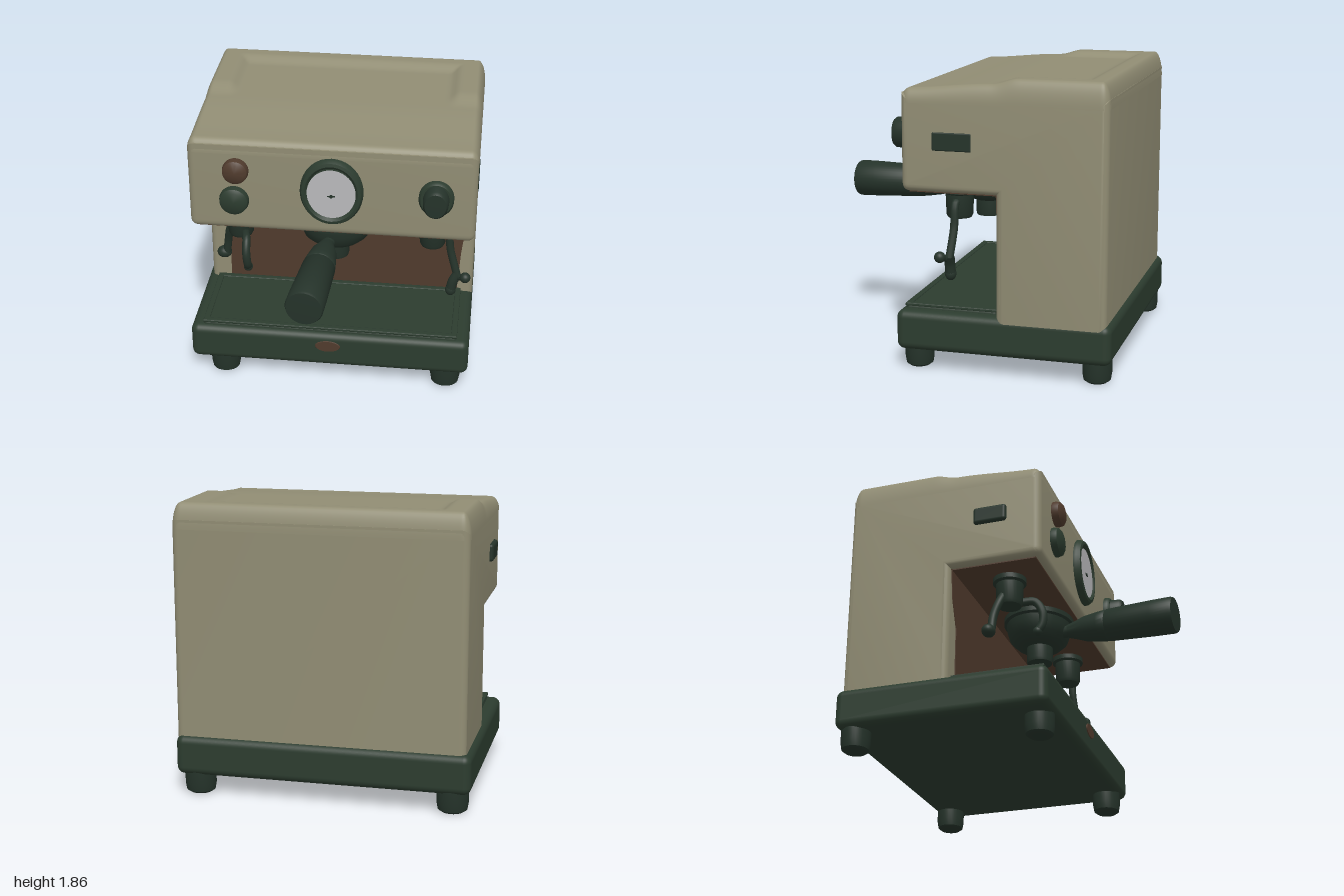
import * as THREE from 'three';
import { toCreasedNormals } from 'three/addons/utils/BufferGeometryUtils.js';
import { RoundedBoxGeometry } from 'three/addons/geometries/RoundedBoxGeometry.js';

const paint = (name, color) => {
  const m = new THREE.MeshStandardMaterial({ color });
  m.name = name;
  return m;
};
const V = (p) => new THREE.Vector3(...p);

export function createModel() {
  const cream = paint('cream enamel', 0x918d74);
  const green = paint('dark green', 0x2c3c2f);
  const fitting = paint('deep green fittings', 0x25332a);
  const brown = paint('brown metal', 0x503b2d);
  const white = paint('dial white', 0xb9b9bb);
  const model = new THREE.Group();
  model.name = 'espressoMachine';

  const add = (name, geo, mat, x = 0, y = 0, z = 0) => {
    const m = new THREE.Mesh(geo, mat);
    m.name = name;
    m.position.set(x, y, z);
    model.add(m);
    return m;
  };
  // Turned part: profile of [radius, height] points, smooth with sharp edges kept
  const turned = (pts, segs = 40) => toCreasedNormals(
    new THREE.LatheGeometry(pts.map((p) => new THREE.Vector2(...p)), segs), 0.7);
  // Turned part whose axis points forward, stretched to an ellipse
  const facing = (pts, sy = 1) => turned(pts).rotateX(Math.PI / 2).scale(1, sy, 1);
  const tube = (name, pts, r, mat) => {
    add(name, new THREE.TubeGeometry(new THREE.CatmullRomCurve3(pts.map(V)), 20, r, 12), mat);
  };
  const ball = (name, p, r, mat, s = [1, 1, 1]) =>
    add(name, new THREE.SphereGeometry(r, 20, 14).scale(...s), mat, ...p);

  // Body: L-shaped side profile (z, y) extruded across the width
  const cx = 0.015, halfW = 0.925, bevel = 0.045;
  const side = new THREE.Shape();
  side.moveTo(-0.965, 0.3);
  side.lineTo(-0.27, 0.3);
  side.lineTo(-0.27, 1.15);
  side.lineTo(0.28, 1.15);
  side.quadraticCurveTo(0.333, 1.15, 0.333, 1.205);
  side.lineTo(0.333, 1.76);
  side.lineTo(-0.965, 1.76);
  side.closePath();
  const body = new THREE.ExtrudeGeometry(side, {
    depth: 2 * (halfW - bevel), bevelThickness: bevel, bevelSize: bevel,
    bevelOffset: -bevel, bevelSegments: 5, curveSegments: 6,
  });
  body.translate(0, 0, bevel - halfW).rotateY(-Math.PI / 2);
  add('body', toCreasedNormals(body, 0.6), cream, cx);

  // Lid: rounded height field with a raised U-shaped rim at the back
  const lid = new THREE.PlaneGeometry(2, 2, 96, 80).rotateX(-Math.PI / 2);
  const pos = lid.attributes.position;
  const hw = halfW + 0.002, hd = 0.651, zc = -0.316, r = 0.055;
  const step = THREE.MathUtils.smoothstep;
  for (let i = 0; i < pos.count; i++) {
    let x = hw * Math.sin(pos.getX(i) * Math.PI / 2);
    let z = hd * Math.sin(pos.getZ(i) * Math.PI / 2);
    const px = Math.max(Math.abs(x) - hw + r, 0), pz = Math.max(Math.abs(z) - hd + r, 0);
    const m = Math.min(Math.max(px, pz), r), e = Math.hypot(px, pz);
    if (px > 0 && pz > 0) {
      x = Math.sign(x) * (hw - r + px * m / e);
      z = Math.sign(z) * (hd - r + pz * m / e);
    }
    const wz = z + zc;
    const sides = step(Math.abs(x), 0.69, 0.77) * step(-wz, 0.24, 0.4);
    const rim = Math.max(sides, step(-wz, 0.75, 0.85));
    const top = 1.79 + 0.037 * step(-wz, -0.32, 0.25) + 0.036 * rim;
    pos.setXYZ(i, x, 1.7 + (top - 1.7) * Math.sqrt(Math.max(0, 1 - (m / r) ** 2)), wz);
  }
  lid.computeVertexNormals();
  add('lid', lid, cream, cx);

  // Brown back panel and underside of the head
  const panel = new THREE.Shape([[-0.77, 0.36], [0.83, 0.36], [0.85, 0.7], [0.9, 1.15],
    [-0.87, 1.15], [-0.84, 0.95], [-0.77, 0.78]].map((p) => new THREE.Vector2(...p)));
  add('backPanel', new THREE.ExtrudeGeometry(panel, { depth: 0.008, bevelEnabled: false }),
    brown, 0, 0, -0.272);
  add('headUnderside', new THREE.BoxGeometry(1.76, 0.009, 0.56), brown, cx, 1.147, 0.01);

  // Base, drip tray and badge
  add('base', new RoundedBoxGeometry(1.885, 0.255, 1.375, 5, 0.05), green, 0, 0.2575, -0.3075);
  add('dripTray', new RoundedBoxGeometry(1.72, 0.07, 0.6, 4, 0.025), green, 0, 0.375, 0.04);
  const frame = new THREE.Shape();
  frame.moveTo(-0.86, -0.3).lineTo(0.86, -0.3).lineTo(0.86, 0.3).lineTo(-0.86, 0.3);
  const hole = new THREE.Path();
  hole.moveTo(-0.82, -0.26).lineTo(-0.82, 0.26).lineTo(0.82, 0.26).lineTo(0.82, -0.26);
  frame.holes.push(hole);
  add('trayRim', new THREE.ExtrudeGeometry(frame, {
    depth: 0.01, bevelSize: 0.008, bevelThickness: 0.006, bevelSegments: 2, bevelOffset: -0.008,
  }).rotateX(-Math.PI / 2), green, 0, 0.402, 0.04);
  add('badge', facing([[0.088, 0], [0.08, 0.009], [0, 0.009]], 0.5), brown, -0.005, 0.295, 0.377);

  // Feet
  const foot = [[0, 0], [0.07, 0], [0.092, 0.015], [0.1, 0.06], [0.1, 0.15]];
  for (const [x, z] of [[-0.725, 0.27], [0.79, 0.27], [-0.82, -0.89], [0.81, -0.89]]) {
    add('foot', turned(foot, 28), fitting, x, 0, z).scale.set(1, 1, 0.92);
  }

  // Pressure gauge
  add('gaugeRing', facing([[0.203, 0], [0.203, 0.02], [0.19, 0.045], [0.172, 0.05],
    [0.158, 0.04], [0.152, 0.02], [0, 0.02]], 1.15), green, 0.02, 1.475, 0.332);
  add('gaugeFace', new THREE.CircleGeometry(0.157, 40).scale(1, 1.1, 1), white, 0.02, 1.47, 0.368);
  add('gaugeNeedle', new THREE.BoxGeometry(0.05, 0.008, 0.004), fitting, 0.02, 1.455, 0.37);
  add('needleHub', facing([[0.011, 0], [0.011, 0.006], [0, 0.006]]), fitting, 0.02, 1.455, 0.368);

  // Buttons and steam knob
  const button = [[0.97, 0], [1, 0.02], [0.93, 0.05], [0.7, 0.065], [0, 0.07]];
  const sized = (k) => button.map(([a, b]) => [a * k, b]);
  add('upperButton', facing(sized(0.085)), brown, -0.595, 1.59, 0.33);
  add('lowerButton', facing(sized(0.097)), green, -0.61, 1.375, 0.325);
  add('knobCollar', facing([[0.112, 0], [0.112, 0.03], [0.1, 0.045], [0, 0.045]], 1.1),
    green, 0.685, 1.47, 0.33);
  add('knob', facing([[0.085, 0], [0.08, 0.11], [0.068, 0.128], [0, 0.13]], 1.2),
    fitting, 0.685, 1.475, 0.33);
  add('knobMark', facing([[0.035, 0], [0.03, 0.009], [0, 0.009]], 0.6), brown, 0.69, 1.34, 0.33);

  // Side vents
  add('leftVent', new RoundedBoxGeometry(0.02, 0.115, 0.25, 4, 0.009), fitting, 0.935, 1.47, 0.005);
  add('rightVent', new RoundedBoxGeometry(0.05, 0.115, 0.22, 4, 0.02), fitting, -0.91, 1.475, 0);

  // Brew head, spout and filter handle
  add('brewHead', turned([[0, 0.94], [0.11, 0.94], [0.17, 0.96], [0.215, 1.0], [0.235, 1.06],
    [0.24, 1.1], [0.26, 1.11], [0.26, 1.15]]), fitting, 0.015, 0, 0.03).scale.z = 0.9;
  add('spout', turned([[0, 0.83], [0.083, 0.83], [0.088, 0.85], [0.088, 0.96]], 28),
    fitting, 0.015, 0, 0.035);
  const handle = add('filterHandle', turned([[0, 0], [0.045, 0], [0.06, 0.05], [0.085, 0.12],
    [0.1, 0.22], [0.106, 0.27], [0.101, 0.278], [0.108, 0.286], [0.12, 0.6], [0.122, 0.73],
    [0.115, 0.745], [0, 0.75]]).rotateX(Math.PI / 2), fitting, -0.02, 1.025, 0.25);
  handle.rotation.set(0.02, -0.075, 0);
  tube('handleNeck', [[0, 1.03, 0.15], [-0.01, 1.03, 0.22], [-0.02, 1.025, 0.29]], 0.042, fitting);

  // Wand mounts
  for (const x of [-0.63, 0.66]) {
    add('wandMount', turned([[0, 0.95], [0.075, 0.95], [0.085, 0.97], [0.09, 1.1], [0.108, 1.11],
      [0.108, 1.15]], 28), fitting, x, 0, 0.04);
  }

  // Steam wand on the left
  tube('steamWand', [[0.7, 1.06, 0.04], [0.755, 1.05, 0.04], [0.785, 0.9, 0.04], [0.835, 0.72, 0.055]],
    0.026, fitting);
  tube('steamWandTip', [[0.84, 0.74, 0.055], [0.81, 0.68, 0.06], [0.795, 0.61, 0.06]], 0.034, fitting);
  ball('steamWandEnd', [0.795, 0.61, 0.06], 0.036, fitting, [1, 1.2, 1]);
  tube('wandLever', [[0.83, 0.71, 0.06], [0.86, 0.725, 0.08], [0.89, 0.735, 0.1]], 0.022, fitting);
  ball('wandLeverKnob', [0.89, 0.735, 0.1], 0.036, fitting);

  // Water wand and curved lever on the right
  tube('waterWand', [[-0.68, 1.02, 0.02], [-0.715, 0.95, 0], [-0.735, 0.85, -0.03], [-0.75, 0.74, -0.04]],
    0.027, fitting);
  ball('waterWandEnd', [-0.77, 0.73, -0.05], 0.044, fitting, [1.15, 0.95, 1]);
  tube('curvedLever', [[-0.59, 0.99, 0.1], [-0.57, 0.99, 0.19], [-0.565, 0.91, 0.24],
    [-0.56, 0.83, 0.235], [-0.56, 0.785, 0.205]], 0.027, fitting);
  ball('curvedLeverEnd', [-0.56, 0.785, 0.205], 0.031, fitting);

  return model;
}
